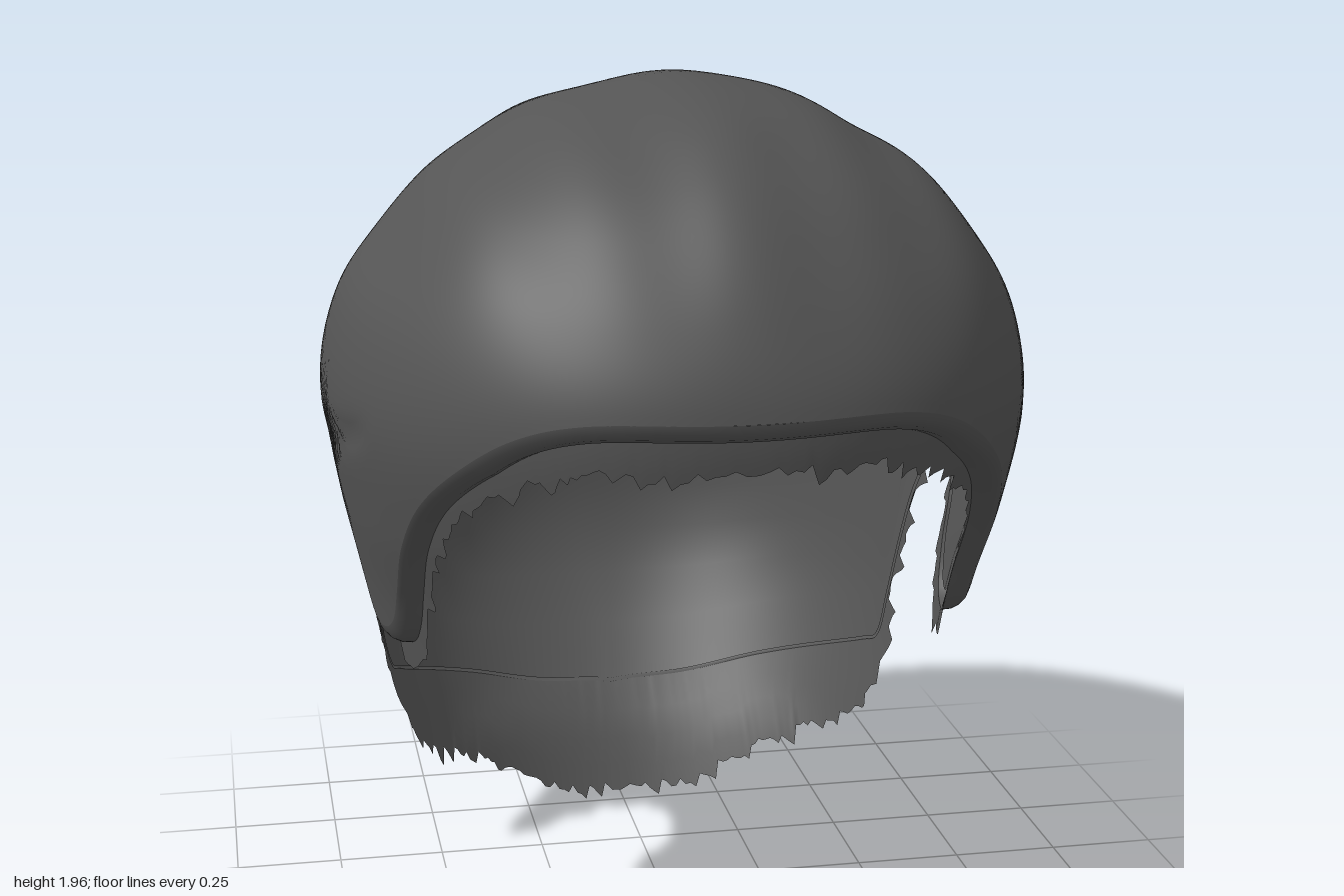
import * as THREE from 'three';

const TOP = 1.955, COLS = 440, DEG = Math.PI / 180, ARC = 0.75;
const ss = (a, b, x) => THREE.MathUtils.smoothstep(x, a, b);

// Horizontal sections of the head: height, half width, front z, back z
const SECTIONS = [
  [1.955, 0, 0.2, 0.2], [1.9, 0.29, 0.53, -0.14], [1.8, 0.455, 0.72, -0.42],
  [1.7, 0.57, 0.83, -0.6], [1.55, 0.695, 0.935, -0.77], [1.4, 0.75, 0.995, -0.88],
  [1.25, 0.765, 0.995, -0.93], [1.05, 0.735, 0.93, -0.98], [0.85, 0.695, 0.8, -1],
  [0.65, 0.665, 0.73, -0.975], [0.5, 0.64, 0.7, -0.91], [0.3, 0.595, 0.65, -0.75],
  [0.2, 0.57, 0.6, -0.64], [0, 0.53, 0.5, -0.53],
];
// Hairline from forehead to nape: angle from the front, height, fringe length
const HAIRLINE = [
  [0, 1.385, 0.115], [22, 1.38, 0.115], [32, 1.34, 0.11], [42, 1.25, 0.08], [51, 1.14, 0.06],
  [57, 1.03, 0.055], [61.6, 0.91, 0.06], [66, 0.82, 0.08], [71, 0.785, 0.11], [77, 0.79, 0.09],
  [82, 0.87, 0.05], [85, 0.97, 0.04], [90, 1.04, 0.02], [95.5, 1.065, 0.015], [101, 1.03, 0.015],
  [105, 0.92, 0.02], [107.5, 0.75, 0.02], [109, 0.6, 0.02], [110, 0.5, 0.06], [114, 0.47, 0.14],
  [124, 0.42, 0.17], [141, 0.35, 0.19], [160, 0.285, 0.23], [180, 0.262, 0.25],
];

// Smooth interpolation of the sections, spaced so that the crown comes out round
const depth = (y) => Math.sqrt(Math.max(0, TOP - y));
function section(y) {
  const u = depth(y), n = SECTIONS.length;
  let i = 0;
  while (i < n - 2 && u > depth(SECTIONS[i + 1][0])) i++;
  const at = (k) => SECTIONS[Math.min(n - 1, Math.max(0, k))];
  const U = (k) => depth(at(k)[0]);
  const h = U(i + 1) - U(i), t = Math.min(1, (u - U(i)) / h);
  return [1, 2, 3].map((j) => {
    const slope = (k) => (at(k + 1)[j] - at(k - 1)[j]) / (U(k + 1) - U(k - 1));
    const a = at(i)[j], b = at(i + 1)[j], t2 = t * t, t3 = t2 * t;
    return a * (2 * t3 - 3 * t2 + 1) + b * (3 * t2 - 2 * t3)
      + h * (slope(i) * (t3 - 2 * t2 + t) + slope(i + 1) * (t3 - t2));
  });
}

// Point on the head at an angle and height, moved inward by a fraction;
// the forehead and the lower back are fuller than an ellipse
function headPoint(angle, y, inset = 0) {
  const [w, front, back] = section(y);
  const zc = 0.05 + 0.15 * ss(1.1, TOP, y), c = Math.cos(angle), k = 1 - inset;
  const n = c > 0 ? 2.22 : 2 + 0.4 * ss(0.25, 0.65, y) * (1 - ss(0.95, 1.35, y));
  const x = Math.sign(Math.sin(angle)) * Math.pow(Math.max(0, 1 - Math.abs(c) ** n), 1 / n);
  return new THREE.Vector3(k * w * x, y, zc + k * c * (c > 0 ? front - zc : zc - back));
}

// Combed strands, the overlapping layer at the back and the crease at the temple
function hairPoint(angle, y) {
  const a = Math.abs(angle) / DEG;
  const seam = 1.2 + 0.02 * Math.sin(angle * 17) + 0.015 * Math.sin(angle * 31 + 1);
  const layer = 0.018 * ss(seam - 0.025, seam + 0.02, y) * (1 - ss(1.3, 1.6, y)) * ss(85, 120, a);
  const off = (y - (1.26 - 0.11 * (a - 66) / 26)) / 0.025;
  const crease = -0.013 * Math.exp(-off * off) * ss(60, 70, a) * (1 - ss(86, 96, a));
  const p = headPoint(angle, y, -layer - crease);
  const strands = Math.sin(13 * p.x + 0.8 + 0.6 * p.z) + 0.6 * Math.sin(24 * p.x + 2 - p.z);
  p.y += 0.009 * ss(1.35, 1.7, y) * (1 - 0.7 * ss(1.85, TOP, y)) * strands;
  return p;
}

// Closed ring of hairline samples with the outward direction of the edge
function hairlineSamples() {
  const vec = ([a, y, d], s) => new THREE.Vector3(s * a * DEG * ARC, y, d);
  const pts = [...HAIRLINE.slice(1).reverse().map((p) => vec(p, -1)), ...HAIRLINE.map((p) => vec(p, 1))];
  const curve = new THREE.CatmullRomCurve3(pts, false, 'centripetal');
  curve.arcLengthDivisions = 2000;
  const ring = curve.getSpacedPoints(COLS);
  return ring.slice(0, COLS).map((p, i) => {
    const before = i ? ring[i - 1] : ring[i], after = ring[i + 1];
    const nx = i ? after.y - before.y : 0, ny = i ? before.x - after.x : -1;
    const len = Math.hypot(nx, ny) || 1;
    const angle = p.x / ARC;
    const inset = 0.01 + 0.06 * (1 - ss(82, 110, Math.abs(angle) / DEG));
    const drop = Math.min(inset * 0.65, p.z * 0.5);
    return { angle, y: p.y, length: p.z, nx: nx / len / ARC, ny: ny / len, inset, drop };
  });
}

// Sheet of rows running round the closed ring of columns
function sheet(name, rows, material, point) {
  const pos = [], idx = [];
  for (let r = 0; r <= rows; r++) {
    for (let c = 0; c < COLS; c++) {
      pos.push(...point(c, r / rows).toArray());
      if (r === rows) continue;
      const a = r * COLS + c, d = r * COLS + (c + 1) % COLS;
      idx.push(a, a + COLS, d + COLS, a, d + COLS, d);
    }
  }
  const geo = new THREE.BufferGeometry();
  geo.setAttribute('position', new THREE.Float32BufferAttribute(pos, 3));
  geo.setIndex(idx);
  geo.computeVertexNormals();
  const mesh = new THREE.Mesh(geo, material);
  mesh.name = name;
  return mesh;
}

export function createModel() {
  const group = new THREE.Group();
  group.name = 'hairCap';
  const material = new THREE.MeshStandardMaterial({ color: 0x555555, side: THREE.DoubleSide });
  const line = hairlineSamples();
  const random = (n) => { const v = Math.sin(n * 127.1 + 3.7) * 43758.5453; return v - Math.floor(v); };
  const edge = (s, out, inset) =>
    headPoint(s.angle + s.nx * out, Math.max(0, s.y + s.ny * out), inset);

  // Outer hair from the crown down to the hairline
  group.add(sheet('outerHair', 64, material, (c, t) => {
    const s = line[c];
    return hairPoint(s.angle, TOP - (TOP - s.y) * t * t);
  }));

  // Rounded lip turning down and inward along the hairline
  group.add(sheet('hairlineLip', 4, material, (c, t) => {
    const s = line[c];
    return edge(s, s.drop * Math.sin(t * Math.PI / 2), s.inset * (1 - Math.cos(t * Math.PI / 2)));
  }));

  // Ragged fringe and nape band below the lip
  group.add(sheet('raggedFringe', 4, material, (c, t) => {
    const s = line[c];
    const tooth = 0.045 * random(Math.floor(c / 4)) * (1 - (c % 4) / 4) + 0.012 * random(c + 500) - 0.015;
    return edge(s, s.drop + (s.length - s.drop + tooth) * t, s.inset);
  }));

  // Inner lining against the head
  group.add(sheet('innerLining', 28, material, (c, t) => {
    const s = line[c];
    const inset = THREE.MathUtils.lerp(0.05, s.inset, ss(0.7, 1, t));
    const p = headPoint(s.angle, TOP - (TOP - s.y) * t * t, inset);
    p.y -= 0.045 * (1 - ss(0.2, 0.9, t));
    return p;
  }));
  return group;
}
